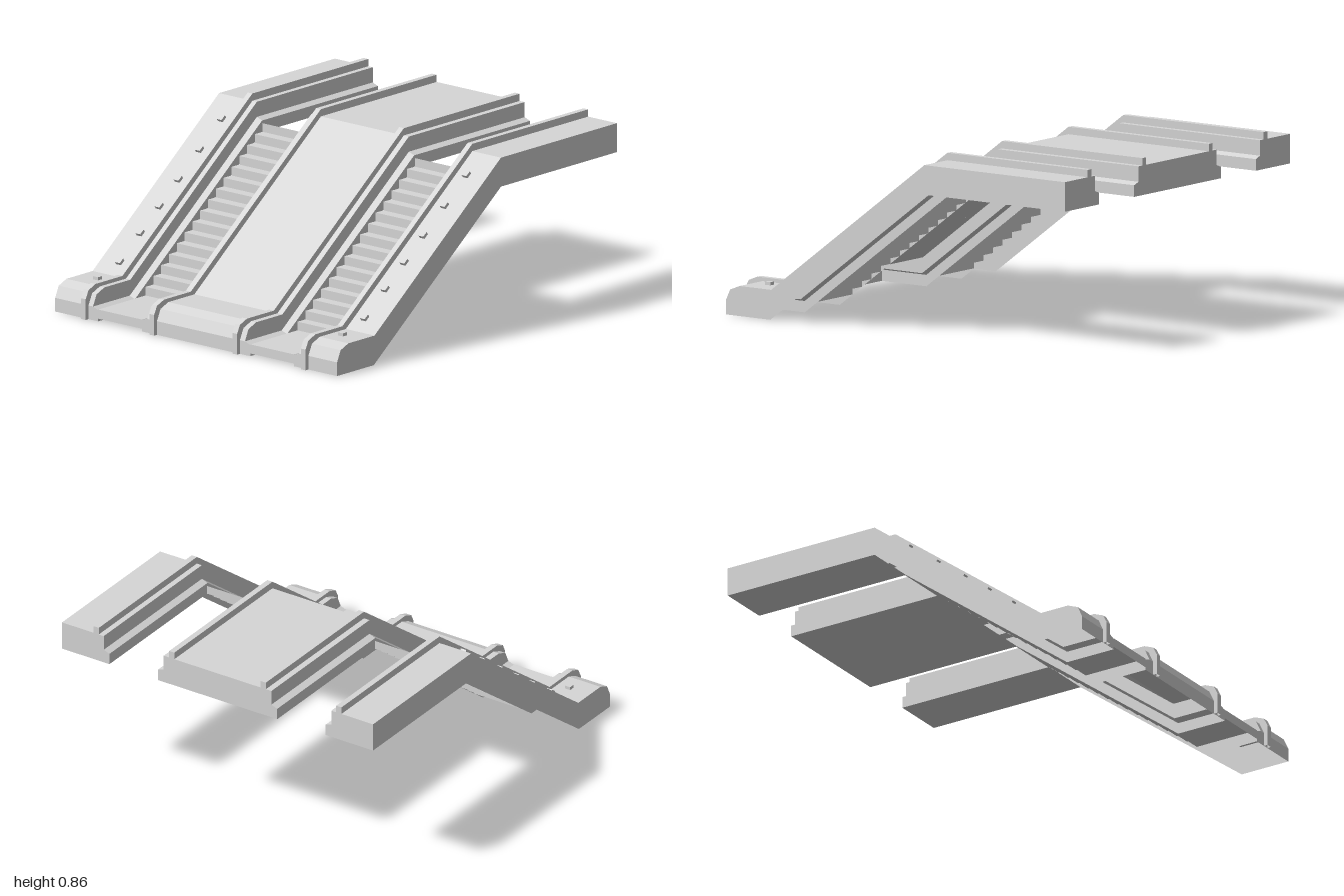
import * as THREE from 'three';

const grey = new THREE.MeshStandardMaterial({ color: 0xd6d6d6, side: THREE.DoubleSide });
grey.name = 'light grey';

// Paths are [z, y] points running from the front foot up to the back; the slope is open below
const bodyTop = [[0.98, 0], [0.98, 0.066], [0.955, 0.12], [0.9, 0.142], [0.715, 0.142], [-0.18, 0.82], [-1, 0.82]];
const ledgeTop = [[0.98, 0], [0.98, 0.066], [0.72, 0.066], [-0.18, 0.747], [-1, 0.747]];
const railTop = [[1, 0], [1, 0.1], [0.98, 0.14], [0.93, 0.16], [0.74, 0.16], [-0.18, 0.855], [-1, 0.855]];
const landingUnderside = [[-1, 0.68], [-0.18, 0.68]];

// Ledge edge next to the stairs is slightly lower
const ledgeEdge = ledgeTop.map(([z, y]) => [z, y > 0 ? y - 0.012 : 0]);

// Stairs: landing plate, then risers and treads as one folded sheet
const stairPath = [[0.98, 0.013], [0.98, 0.057]];
for (let i = 0; i < 16; i++) {
  const z = 0.645 - i * 0.0553, y = 0.057 + i * 0.0415;
  stairPath.push([z, y], [z, y + 0.0415]);
}

// Skin between a path at xa and a path with as many points at xb
function skin(pathA, xa, xb, pathB = pathA) {
  if (xa > xb) return skin(pathB, xb, xa, pathA);
  const pos = [];
  for (let i = 0; i + 1 < pathA.length; i++) {
    const [a0, a1] = [pathA[i], pathA[i + 1]].map(([z, y]) => [xa, y, z]);
    const [b0, b1] = [pathB[i], pathB[i + 1]].map(([z, y]) => [xb, y, z]);
    pos.push(...a0, ...b0, ...a1, ...b0, ...b1, ...a1);
  }
  const g = new THREE.BufferGeometry();
  g.setAttribute('position', new THREE.Float32BufferAttribute(pos, 3));
  g.computeVertexNormals();
  return g;
}

// Flat side wall at x, filling an outline
function wall(outline, x) {
  const g = new THREE.ShapeGeometry(new THREE.Shape(outline.map(([z, y]) => new THREE.Vector2(z, y))));
  g.rotateY(-Math.PI / 2);
  g.translate(x, 0, 0);
  return g;
}

// Outline between two paths that share the front foot
const between = (upper, lower) => [...upper, ...[...lower].reverse()];

export function createModel() {
  const model = new THREE.Group();
  model.name = 'doubleEscalator';
  const add = (parent, name, geometry) => {
    const mesh = new THREE.Mesh(geometry, grey);
    mesh.name = name;
    parent.add(mesh);
    return mesh;
  };

  const bodyPath = [...bodyTop, ...landingUnderside];
  const foot = [[0.72, 0]];
  add(model, 'centreBody', skin(bodyPath, -0.303, 0.303));

  const slope = Math.atan2(0.678, 0.895);
  for (const s of [1, -1]) {
    const side = new THREE.Group();
    side.name = s > 0 ? 'leftSide' : 'rightSide';
    model.add(side);

    // Outer body
    add(side, 'outerBody', skin(bodyPath, s * 0.64, s * 0.875));
    add(side, 'outerWall', wall([...bodyTop, ...landingUnderside, ...foot], s * 0.875));

    // Stepped ledges beside the stairs
    for (const [name, x, edgeX] of [['innerLedge', 0.303, 0.336], ['outerLedge', 0.64, 0.608]]) {
      add(side, name, skin([...ledgeTop, ...landingUnderside], s * x, s * edgeX,
        [...ledgeEdge, ...landingUnderside]));
      add(side, name + 'Wall', wall([...ledgeEdge, ...landingUnderside, ...foot], s * edgeX));
      add(side, name + 'Step', wall(between(bodyTop.slice(1), ledgeTop.slice(2)), s * x));
    }

    // Handrails
    for (const [name, x0, x1] of [['innerHandrail', 0.243, 0.272], ['outerHandrail', 0.668, 0.697]]) {
      add(side, name, skin([...railTop, [-1, 0.82]], s * x0, s * x1));
      for (const x of [x0, x1]) add(side, name + 'Wall', wall(between(railTop, bodyTop), s * x));
    }

    add(side, 'stairs', skin(stairPath, s * 0.336, s * 0.608));

    // Small blocks along the outer body
    for (const z of [0.81, 0.65, 0.505, 0.37, 0.235, 0.085, -0.07]) {
      const block = add(side, 'block', new THREE.BoxGeometry(0.03, 0.03, 0.03));
      const flat = z > 0.715;
      block.position.set(s * 0.76, flat ? 0.142 : 0.142 + (0.715 - z) * 0.7575, z);
      block.rotation.x = flat ? 0 : slope;
    }
  }
  return model;
}
